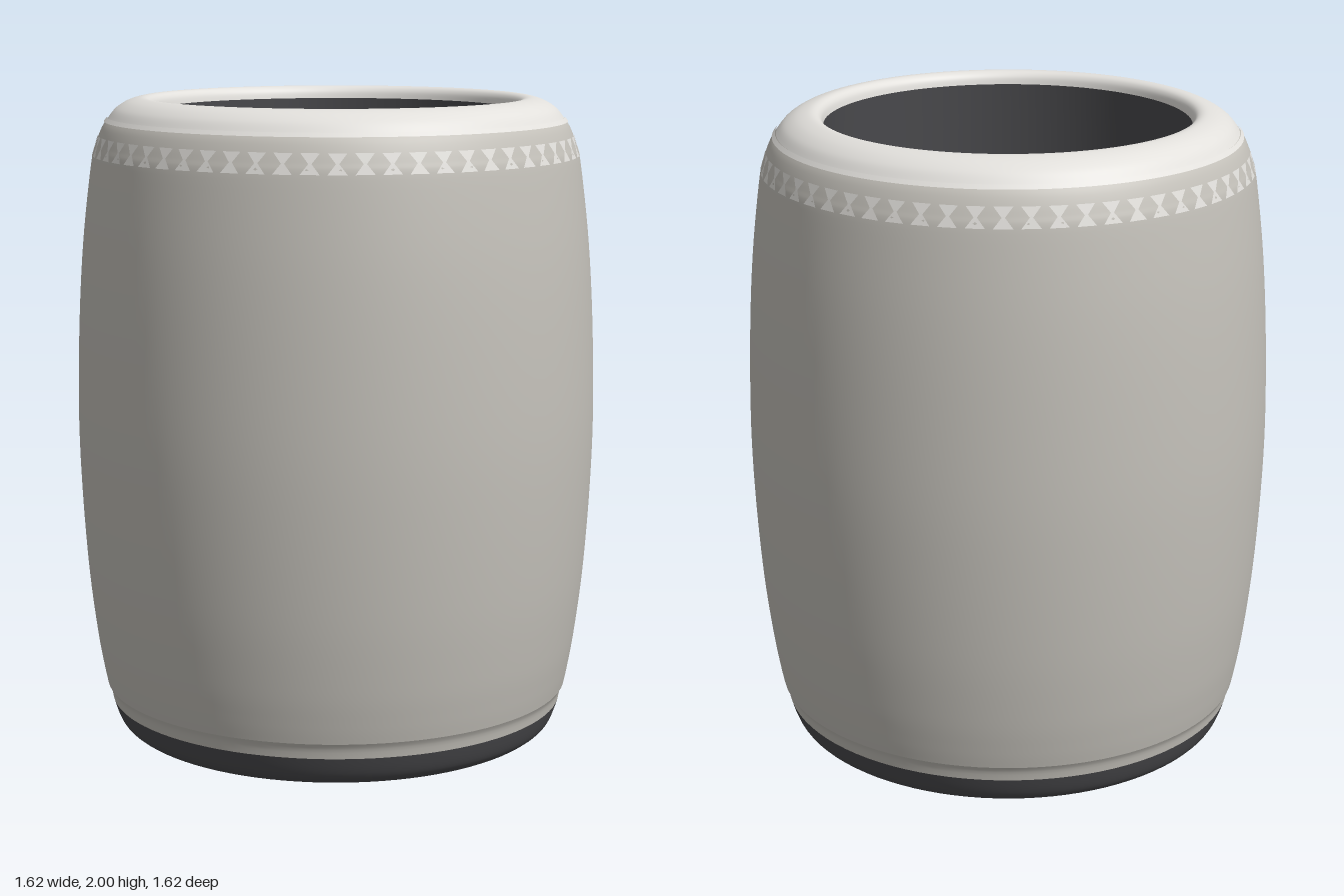
import * as THREE from 'three';

const SEGMENTS = 96;
const material = (color) => new THREE.MeshStandardMaterial({ color });

// Smooth surface of revolution through a few [radius, height] points
function turned(name, points, mat, samples = 0) {
  let profile = points.map(([r, y]) => new THREE.Vector2(r, y));
  if (samples) profile = new THREE.SplineCurve(profile).getPoints(samples);
  const mesh = new THREE.Mesh(new THREE.LatheGeometry(profile, SEGMENTS), mat);
  mesh.name = name;
  return mesh;
}

// Ring of small hourglass inlays lying just outside the body
function inlayBand(count, y0, r0, y1, r1, mat) {
  const positions = [];
  const step = (Math.PI * 2) / count;
  const at = (a, t) => {
    const r = THREE.MathUtils.lerp(r0, r1, t);
    return [r * Math.sin(a), THREE.MathUtils.lerp(y0, y1, t), r * Math.cos(a)];
  };
  for (let i = 0; i < count; i++) {
    const a = i * step;
    const w = step * 0.36;
    positions.push(...at(a - w, 0), ...at(a + w, 0), ...at(a, 0.6));
    positions.push(...at(a, 0.4), ...at(a + w, 1), ...at(a - w, 1));
  }
  const geometry = new THREE.BufferGeometry();
  geometry.setAttribute('position', new THREE.Float32BufferAttribute(positions, 3));
  geometry.computeVertexNormals();
  const mesh = new THREE.Mesh(geometry, mat);
  mesh.name = 'inlayBand';
  return mesh;
}

export function createModel() {
  const group = new THREE.Group();
  group.name = 'barrelContainer';
  const shell = material(0xc4c1ba);
  const pale = material(0xe2e0dc);
  const dark = material(0x4a4a4d);

  // Dark foot with a rounded lower edge and flat underside
  group.add(turned('baseSide', [[0.64, 0], [0.665, 0.01], [0.69, 0.03], [0.705, 0.06], [0.718, 0.1]], dark, 12));
  group.add(turned('baseUnderside', [[0, 0], [0.64, 0]], dark));

  // Small collar above the foot
  group.add(turned('collar', [[0.718, 0.1], [0.724, 0.13], [0.734, 0.15]], shell, 6));

  // Bulging barrel wall
  group.add(turned('body', [
    [0.734, 0.15], [0.746, 0.21], [0.764, 0.32], [0.787, 0.52], [0.804, 0.78], [0.81, 1.03],
    [0.802, 1.32], [0.785, 1.57], [0.757, 1.8], [0.742, 1.86], [0.722, 1.91], [0.703, 1.938],
  ], shell, 60));

  // Rolled pale rim
  group.add(turned('rim', [
    [0.703, 1.938], [0.68, 1.966], [0.645, 1.988], [0.605, 1.999], [0.58, 1.996], [0.566, 1.982], [0.56, 1.96],
  ], pale, 30));

  // Dark recess: wall and dished floor
  group.add(turned('recessWall', [[0.56, 1.96], [0.565, 1.85], [0.575, 1.62]], dark, 12));
  group.add(turned('recessFloor', [[0.575, 1.62], [0.46, 1.575], [0.3, 1.54], [0.15, 1.523], [0, 1.518]], dark, 20));

  // Decorative band and thin line below the rim
  group.add(inlayBand(60, 1.825, 0.754, 1.885, 0.736, pale));
  group.add(turned('thinLine', [[0.716, 1.928], [0.706, 1.94]], pale));

  return group;
}
